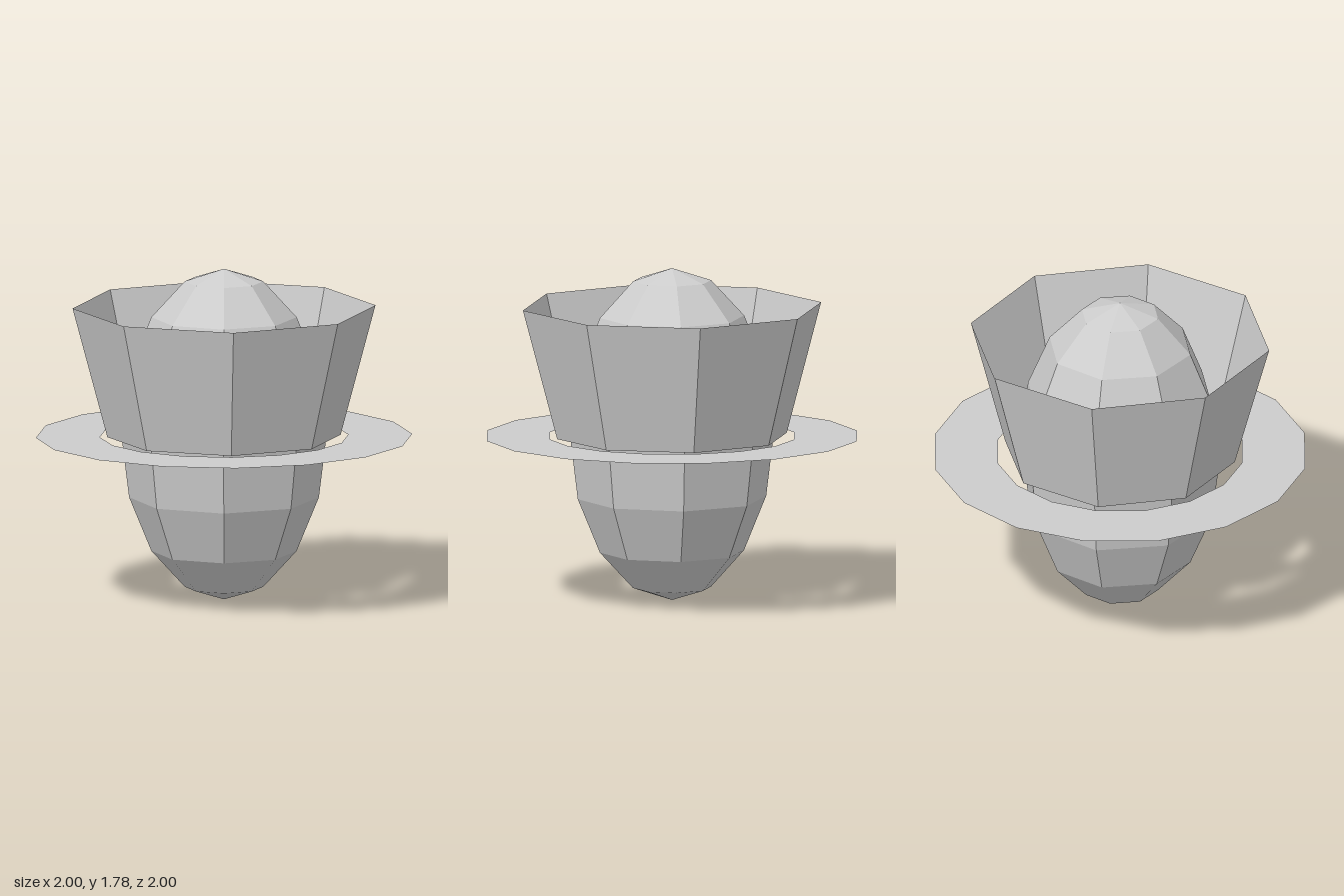
import * as THREE from 'three';

export function createModel() {
  const group = new THREE.Group();
  const grey = new THREE.MeshStandardMaterial({
    name: 'grey', color: 0xcccccc, flatShading: true, side: THREE.DoubleSide,
  });
  const add = (name, geometry, y) => {
    const mesh = new THREE.Mesh(geometry, grey);
    mesh.name = name;
    mesh.position.y = y;
    group.add(mesh);
    return mesh;
  };

  // Tall faceted egg, turned slightly against the collar
  const core = new THREE.SphereGeometry(0.545, 8, 8);
  core.scale(1, 0.89 / 0.545, 1);
  add('core', core, 0.89).rotation.y = -0.065;

  // Open flared collar around the upper half
  add('collar', new THREE.CylinderGeometry(0.805, 0.62, 0.695, 8, 1, true), 0.88 + 0.695 / 2);

  // Flat, thin ring around the waist
  const ring = new THREE.RingGeometry(0.66, 1, 16);
  ring.rotateX(-Math.PI / 2);
  add('ring', ring, 0.88);

  return group;
}
